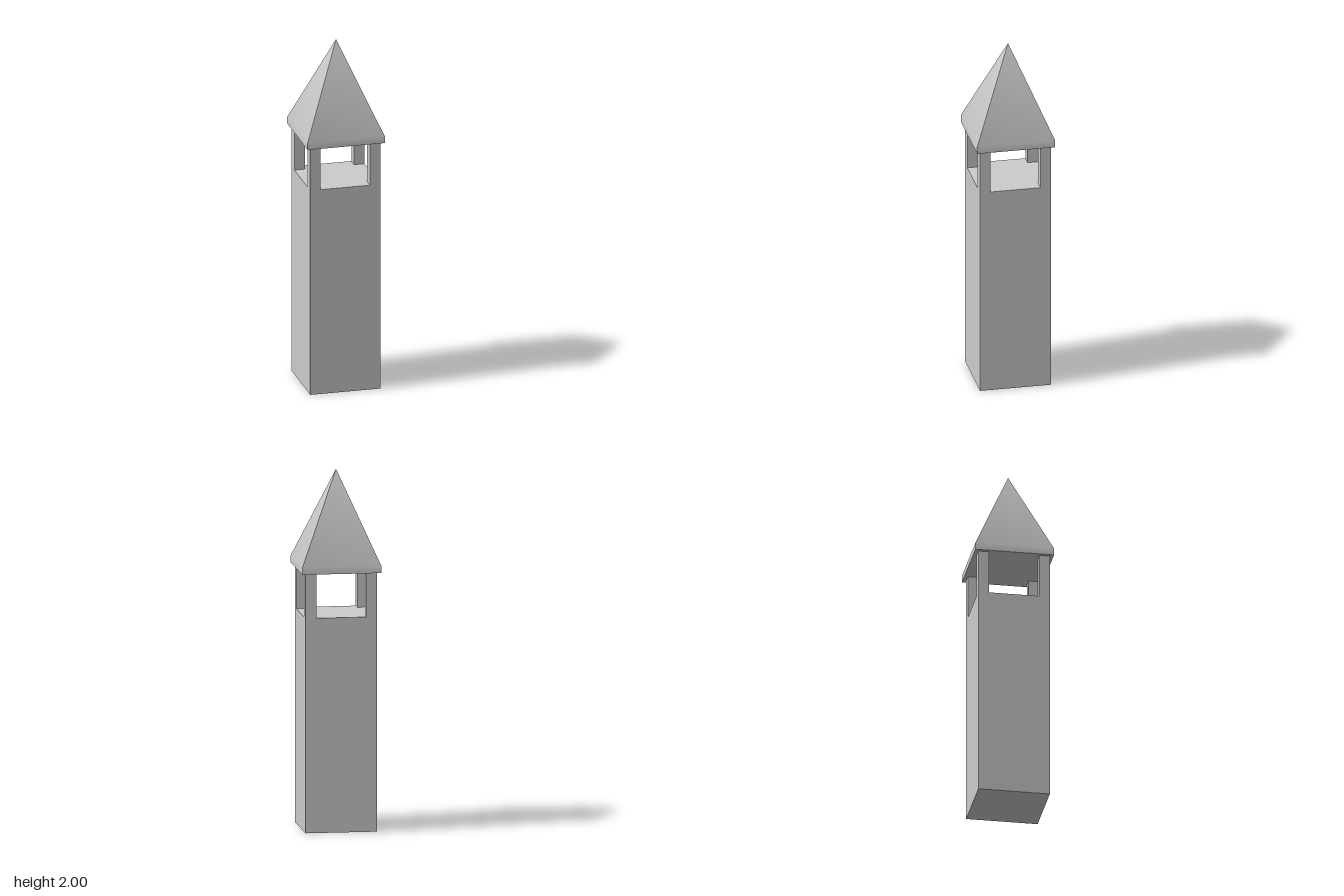
import * as THREE from 'three';
import { toCreasedNormals } from 'three/addons/utils/BufferGeometryUtils.js';

export function createModel() {
  const group = new THREE.Group();
  const stone = new THREE.MeshStandardMaterial({ color: 0xcccccc });
  stone.name = 'pale grey';

  const add = (name, geometry, x = 0, y = 0, z = 0) => {
    const mesh = new THREE.Mesh(geometry, stone);
    mesh.name = name;
    mesh.position.set(x, y, z);
    group.add(mesh);
  };

  const half = 0.2, floorY = 1.2, eaveY = 1.447, post = 0.06;

  // Square shaft, its top is the belfry floor
  add('shaft', new THREE.BoxGeometry(half * 2, floorY, half * 2), 0, floorY / 2, 0);

  // Four corner posts around the open belfry
  const postHeight = eaveY - floorY;
  const offset = half - post / 2;
  for (const sx of [-1, 1]) {
    for (const sz of [-1, 1]) {
      add('cornerPost', new THREE.BoxGeometry(post, postHeight, post),
        sx * offset, floorY + postHeight / 2, sz * offset);
    }
  }

  // Pyramid roof with a short upright eave, softly shaded into the slope
  const corner = 0.22 * Math.SQRT2;
  const profile = [[0, eaveY], [corner, eaveY], [corner, 1.487], [0, 2]]
    .map(([r, y]) => new THREE.Vector2(r, y));
  const roof = new THREE.LatheGeometry(profile, 4, Math.PI / 4);
  add('roof', toCreasedNormals(roof, Math.PI / 6));

  return group;
}
